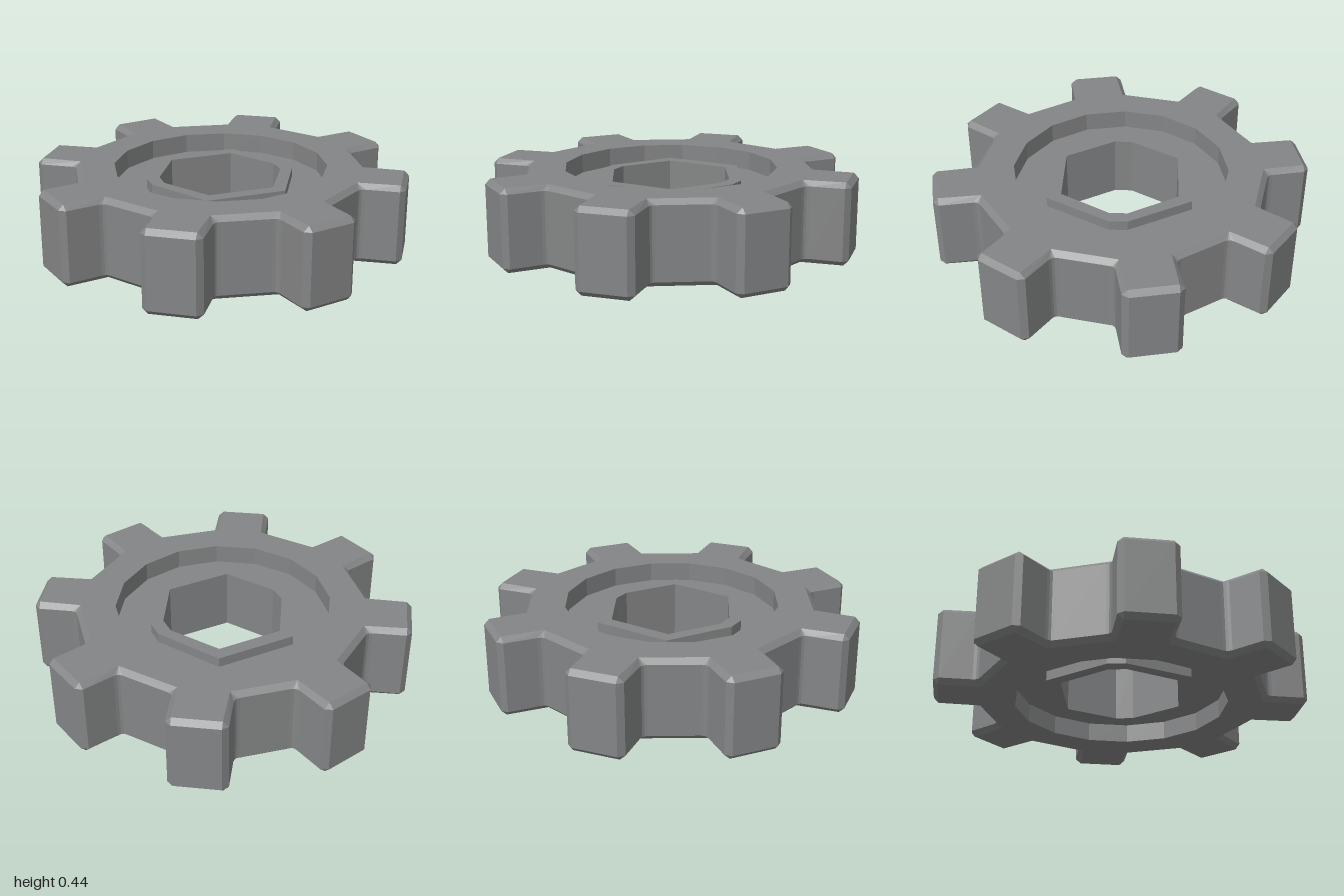
import * as THREE from 'three';

const H = 0.435, BEVEL = 0.027, FLOOR = 0.103, COLLAR = 0.05; // depths measured from either face

const material = new THREE.MeshStandardMaterial({ color: 0x848586, flatShading: true });

// Eight-tooth outline from half a tooth given as [radius, sideways offset], anticlockwise from above
function gearLoop(half) {
  const tooth = [...half.map(([r, t]) => [r, -t]), ...[...half].reverse()];
  const loop = [];
  for (let k = 0; k < 8; k++) {
    const a = THREE.MathUtils.degToRad(11.25 + 45 * k), c = Math.cos(a), s = Math.sin(a);
    for (const [r, t] of tooth) loop.push([r * c - t * s, -(r * s + t * c)]);
  }
  return loop;
}

// Hexagon with its two side points cut off
function hexLoop(x, z, endX, endZ) {
  return [[endX, endZ], [endX, -endZ], [x, -z], [-x, -z], [-endX, -endZ], [-endX, endZ], [-x, z], [x, z]];
}

// Wall through a list of [loop, y]; rising sections face outward, falling ones inward
function wall(sections) {
  const pos = [];
  const p = ([x, z], y) => new THREE.Vector3(x, y, z);
  const tri = (a, b, c) => {
    const area = b.clone().sub(a).cross(c.clone().sub(a)).length();
    if (area > 1e-8) pos.push(...a, ...b, ...c);
  };
  for (let s = 0; s + 1 < sections.length; s++) {
    const [la, ya] = sections[s], [lb, yb] = sections[s + 1];
    for (let i = 0; i < la.length; i++) {
      const j = (i + 1) % la.length;
      const a = p(la[i], ya), b = p(la[j], ya), c = p(lb[j], yb), d = p(lb[i], yb);
      tri(a, b, c);
      tri(a, c, d);
    }
  }
  const g = new THREE.BufferGeometry();
  g.setAttribute('position', new THREE.Float32BufferAttribute(pos, 3));
  g.computeVertexNormals();
  return g;
}

// Flat ring between two loops, facing up or down
function ring(outer, inner, y, up) {
  const pts = (l) => l.map(([x, z]) => new THREE.Vector2(x, up ? -z : z));
  const shape = new THREE.Shape(pts(outer));
  shape.holes.push(new THREE.Path(pts(inner)));
  return new THREE.ShapeGeometry(shape).rotateX(up ? -Math.PI / 2 : Math.PI / 2).translate(0, y, 0);
}

export function createModel() {
  const group = new THREE.Group();
  const add = (name, geometry) => {
    const mesh = new THREE.Mesh(geometry, material);
    mesh.name = name;
    group.add(mesh);
  };

  // Outlines: the body has rounded roots and clipped tips, the face has sharp corners
  const body = gearLoop([
    [0.756, 0.175], [0.764, 0.161], [0.776, 0.153], [0.793, 0.15], // root fillet
    [0.967, 0.15], [0.995, 0.12], // tip
  ]);
  const root = [0.747, 0.127], tip = [0.968, 0.121];
  const bevelTop = gearLoop([root, root, root, root, tip, tip]);
  const face = gearLoop([root, tip]);
  const recess = Array.from({ length: 16 }, (_, i) => {
    const a = (i * Math.PI) / 8;
    return [0.572 * Math.cos(a), -0.572 * Math.sin(a)];
  });
  const collar = hexLoop(0.214, 0.378, 0.4, 0.048);
  const hole = hexLoop(0.176, 0.306, 0.33, 0.048);

  // Toothed rim with bevelled edges, and the bore through the hub
  add('toothedRim', wall([[bevelTop, 0], [body, BEVEL], [body, H - BEVEL], [bevelTop, H]]));
  add('hexBore', wall([[hole, H - COLLAR], [hole, COLLAR]]));

  // Same recess and raised collar on both faces
  for (const up of [true, false]) {
    const side = up ? 'top' : 'bottom';
    const level = (depth) => (up ? H - depth : depth);
    const span = (loop, d0, d1) => {
      const ends = [[loop, level(d0)], [loop, level(d1)]];
      return wall(up ? ends : ends.reverse());
    };
    add(side + 'Face', ring(face, recess, level(0), up));
    add(side + 'RecessWall', span(recess, 0, FLOOR));
    add(side + 'RecessFloor', ring(recess, collar, level(FLOOR), up));
    add(side + 'CollarWall', span(collar, FLOOR, COLLAR));
    add(side + 'CollarFace', ring(collar, hole, level(COLLAR), up));
  }
  return group;
}
